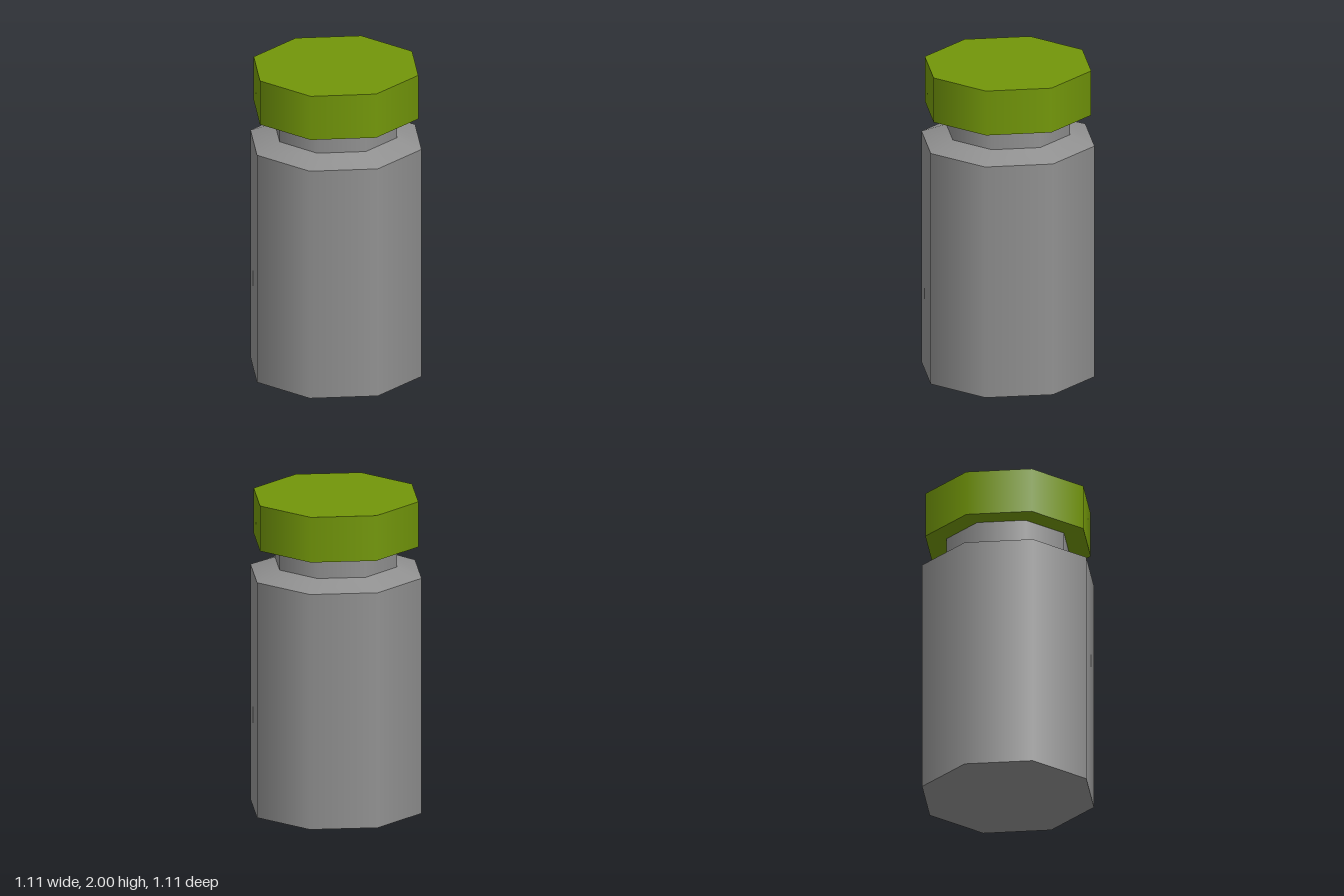
import * as THREE from 'three';

const SIDES = 8;

export function createModel() {
  const group = new THREE.Group();
  const glass = new THREE.MeshStandardMaterial({ color: 0x909090 });
  const green = new THREE.MeshStandardMaterial({ color: 0x729609 });

  // Eight-sided section standing between two heights, smooth round the side
  function section(name, bottomRadius, topRadius, y0, y1, material, open = false) {
    const geometry = new THREE.CylinderGeometry(topRadius, bottomRadius, y1 - y0, SIDES, 1, open);
    const mesh = new THREE.Mesh(geometry, material);
    mesh.name = name;
    mesh.position.y = (y0 + y1) / 2;
    group.add(mesh);
  }

  // Jar, from the base up
  section('body', 0.553, 0.553, 0, 1.51, glass);
  section('shoulder', 0.553, 0.395, 1.51, 1.57, glass, true);
  section('neck', 0.395, 0.395, 1.57, 1.71, glass, true);

  // Lid
  section('cap', 0.532, 0.532, 1.71, 2, green);

  return group;
}
